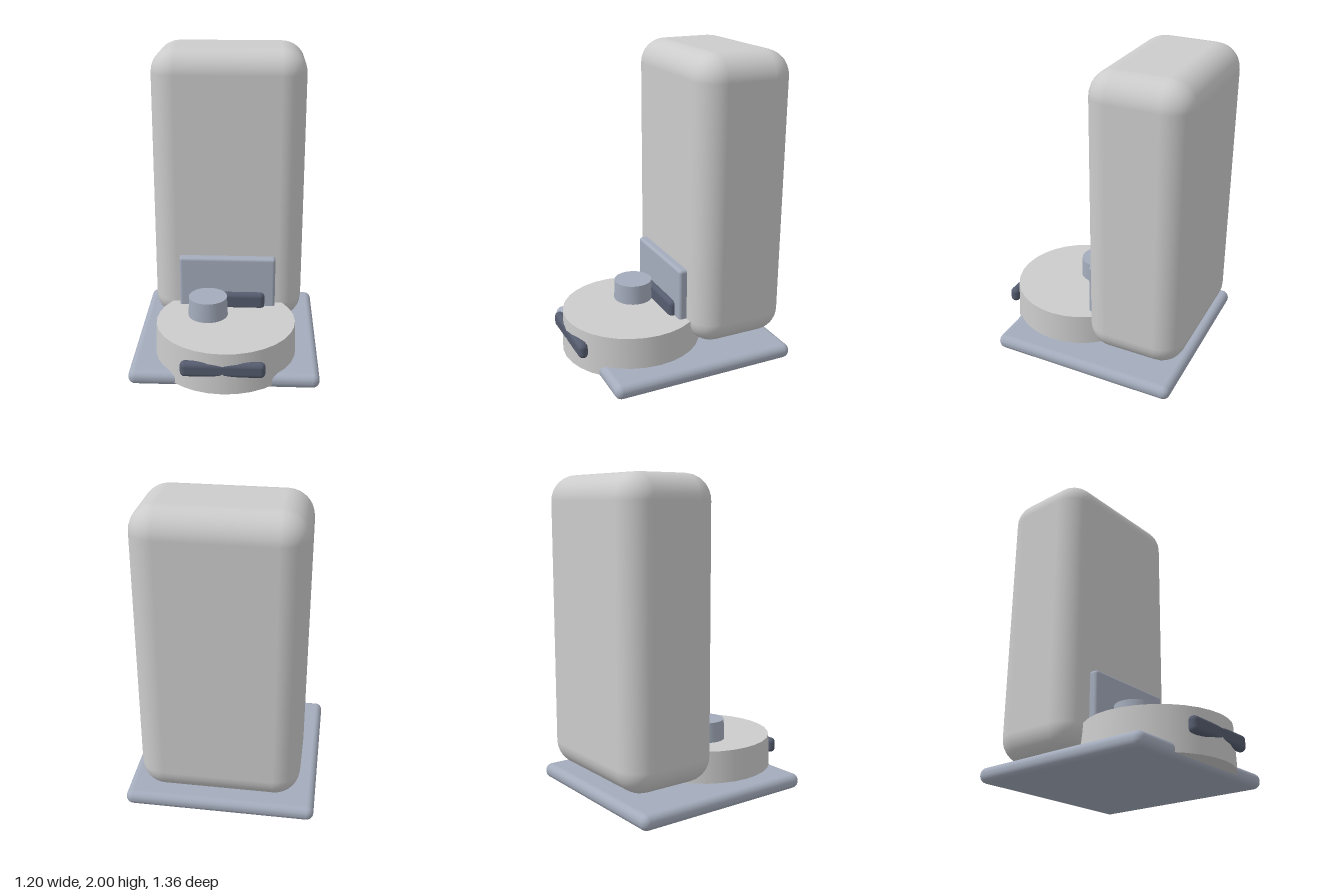
import * as THREE from 'three';
import { RoundedBoxGeometry } from 'three/addons/geometries/RoundedBoxGeometry.js';

const material = (color) => new THREE.MeshStandardMaterial({ color });

export function createModel() {
  const model = new THREE.Group();
  const light = material(0xcccccc);
  const mid = material(0xa4acbc);
  const dark = material(0x555c6e);

  function add(name, geometry, mat, x, y, z) {
    const mesh = new THREE.Mesh(geometry, mat);
    mesh.name = name;
    mesh.position.set(x, y, z);
    model.add(mesh);
  }

  // Rounded box given by its lower and upper limits
  function slab(name, min, max, radius, mat) {
    const s = max.map((v, i) => v - min[i]);
    const c = max.map((v, i) => (v + min[i]) / 2);
    add(name, new RoundedBoxGeometry(...s, 4, radius), mat, ...c);
  }

  // Slightly tapered disc standing between two heights
  function disc(name, rTop, rBottom, y0, y1, x, z, mat) {
    add(name, new THREE.CylinderGeometry(rTop, rBottom, y1 - y0, 32), mat, x, (y0 + y1) / 2, z);
  }

  // Docking station
  slab('basePlate', [-0.6, 0, -0.67], [0.6, 0.095, 0.56], 0.045, mid);
  slab('dockTower', [-0.5, 0.14, -0.68], [0.5, 2, -0.04], 0.16, light);
  slab('dockPanel', [-0.32, 0.2, -0.06], [0.32, 0.64, 0.012], 0.02, mid);
  slab('dockContact', [-0.25, 0.28, -0.03], [0.25, 0.4, 0.045], 0.03, dark);

  // Round cleaner parked on the plate
  disc('cleanerBody', 0.45, 0.46, 0.03, 0.3, 0, 0.215, light);
  disc('sensorTurret', 0.125, 0.13, 0.3, 0.43, -0.12, 0.145, mid);
  slab('frontBumper', [-0.26, 0.135, 0.608], [0.26, 0.235, 0.67], 0.03, dark);

  return model;
}
